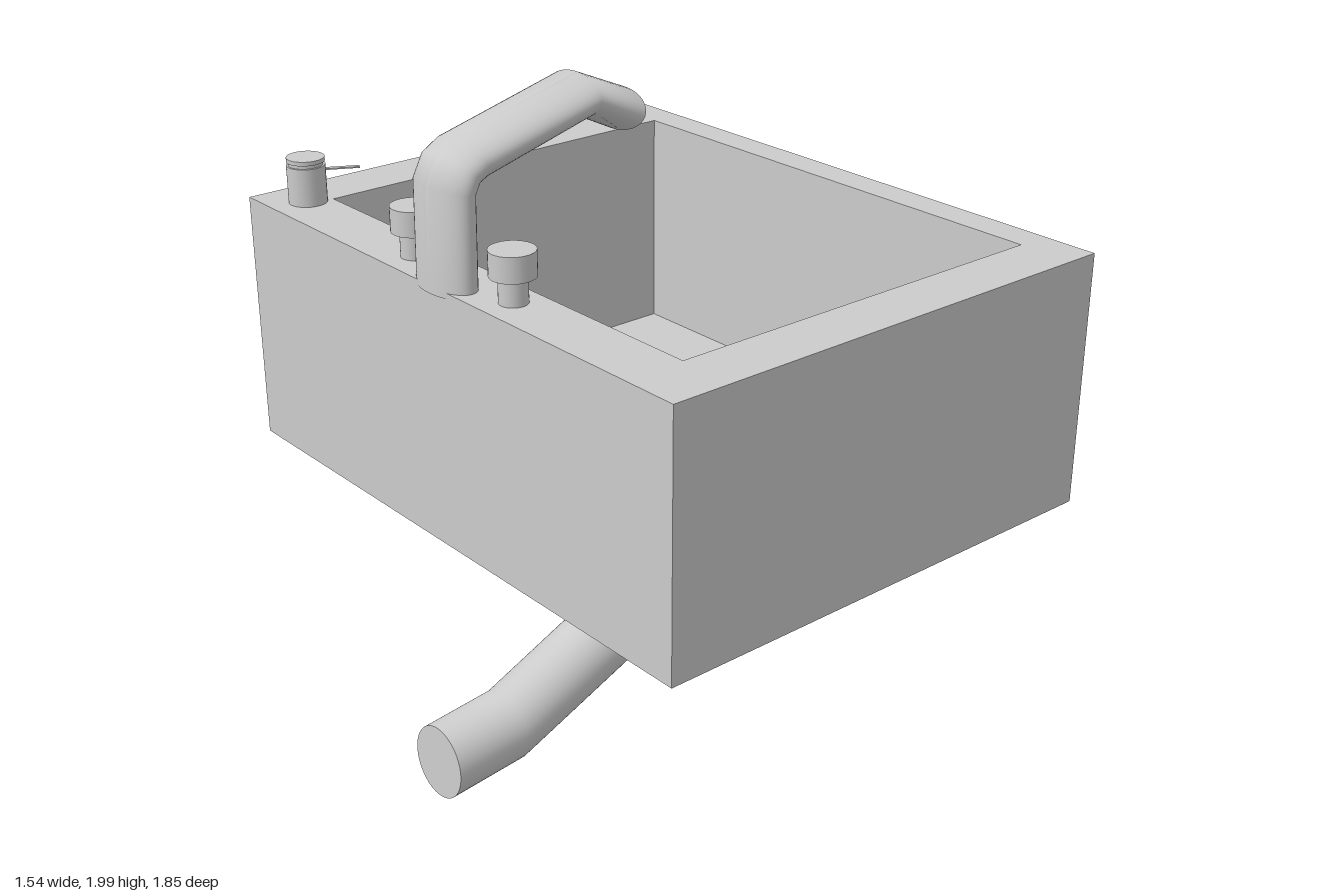
import * as THREE from 'three';

const material = new THREE.MeshStandardMaterial({ color: 0xcccccc });
const thin = new THREE.MeshStandardMaterial({ color: 0xcccccc, side: THREE.DoubleSide });
const DECK = 1.525, BOTTOM = 0.787, FLOOR = 0.857;

function add(parent, name, geometry, x = 0, y = 0, z = 0, mat = material) {
  const mesh = new THREE.Mesh(geometry, mat);
  mesh.name = name;
  mesh.position.set(x, y, z);
  parent.add(mesh);
  return mesh;
}

// Counter-clockwise rectangle on the ground plane; shape y is -z
function rect(target, x0, x1, z0, z1) {
  target.moveTo(x0, -z1);
  target.lineTo(x1, -z1);
  target.lineTo(x1, -z0);
  target.lineTo(x0, -z0);
  target.closePath();
  return target;
}

function slab(shape, depth) {
  return new THREE.ExtrudeGeometry(shape, { depth, bevelEnabled: false }).rotateX(-Math.PI / 2);
}

// Oval ring around a path node [x, y, heading in degrees] in the xy plane
function ring([x, y, heading], across, wide, sides = 40) {
  const h = THREE.MathUtils.degToRad(heading);
  return Array.from({ length: sides + 1 }, (_, k) => {
    const a = (k / sides) * Math.PI * 2, c = Math.cos(a) * across;
    return [x - Math.sin(h) * c, y + Math.cos(h) * c, Math.sin(a) * wide];
  });
}

// Skin over successive rings; a null entry leaves a hard edge
function loft(rings) {
  const pos = [], index = [];
  let previous = -1;
  for (const loop of rings) {
    if (!loop) { previous = -1; continue; }
    const start = pos.length / 3;
    loop.forEach((v) => pos.push(...v));
    if (previous >= 0) {
      for (let k = 0; k < loop.length - 1; k++) {
        const a = previous + k, b = start + k;
        index.push(a, a + 1, b + 1, a, b + 1, b);
      }
    }
    previous = start;
  }
  const g = new THREE.BufferGeometry();
  g.setAttribute('position', new THREE.Float32BufferAttribute(pos, 3));
  g.setIndex(index);
  g.computeVertexNormals();
  return g;
}

export function createModel() {
  const model = new THREE.Group();
  model.name = 'sink';

  // Basin: thick walls around a deep rectangular well
  const basin = new THREE.Group();
  basin.name = 'basin';
  model.add(basin);
  const well = [-0.53, 0.67, -0.757, 0.753];
  const walls = rect(new THREE.Shape(), -0.705, 0.768, -0.925, 0.921);
  walls.holes.push(rect(new THREE.Path(), ...well));
  add(basin, 'basinWalls', slab(walls, DECK - BOTTOM), 0, BOTTOM);
  add(basin, 'basinFloor', slab(rect(new THREE.Shape(), ...well), FLOOR - BOTTOM), 0, BOTTOM);

  // Drain plate with a grid of slots
  const plate = rect(new THREE.Shape(), -0.01, 0.145, -0.102, 0.097);
  for (const x of [0.037, 0.1]) {
    for (const z of [-0.077, -0.003, 0.072]) {
      const slot = new THREE.Path(), w = 0.018, h = 0.021, r = 0.008;
      slot.moveTo(x - w + r, -z - h);
      slot.lineTo(x + w - r, -z - h);
      slot.quadraticCurveTo(x + w, -z - h, x + w, -z - h + r);
      slot.lineTo(x + w, -z + h - r);
      slot.quadraticCurveTo(x + w, -z + h, x + w - r, -z + h);
      slot.lineTo(x - w + r, -z + h);
      slot.quadraticCurveTo(x - w, -z + h, x - w, -z + h - r);
      slot.lineTo(x - w, -z - h + r);
      slot.quadraticCurveTo(x - w, -z - h, x - w + r, -z - h);
      plate.holes.push(slot);
    }
  }
  add(model, 'drainPlate', slab(plate, 0.025), 0, FLOOR);

  // Waste pipe, closed at both ends
  const pipePath = [[0.054, BOTTOM, -90], [0.054, 0.6, -90], [0.052, 0.53, -101],
    [0.024, 0.456, -135], [-0.106, 0.326, -155], [-0.53, 0.138, -176], [-0.767, 0.112, 177]];
  const tube = pipePath.map((node) => ring(node, 0.107, 0.107));
  add(model, 'wastePipe', loft([
    ring(pipePath[0], 0, 0), tube[0], null, ...tube, null, tube.at(-1), ring(pipePath.at(-1), 0, 0),
  ]));

  // Oval spout with a hollow mouth
  const spoutPath = [[-0.659, 1.51, 90], [-0.655, 1.78, 77], [-0.632, 1.825, 47],
    [-0.595, 1.846, 23], [-0.236, 1.942, -4], [-0.093, 1.877, -25]];
  const outer = spoutPath.map((node) => ring(node, 0.057, 0.111));
  const bore = spoutPath.map((node) => ring(node, 0.049, 0.095));
  add(model, 'spout', loft([
    ring(spoutPath[0], 0, 0), outer[0], null, ...outer, null, outer.at(-1), bore.at(-1), null,
    ...bore.slice(2).reverse(), ring(spoutPath[2], 0, 0),
  ]), 0, 0, -0.01);

  // Pair of tap handles
  for (const [name, z] of [['leftTap', 0.21], ['rightTap', -0.222]]) {
    const tap = new THREE.Group();
    tap.name = name;
    tap.position.set(-0.612, DECK, z);
    add(tap, 'tapStem', new THREE.CylinderGeometry(0.039, 0.039, 0.08, 32), 0, 0.04);
    add(tap, 'tapKnob', new THREE.CylinderGeometry(0.062, 0.062, 0.07, 32), 0, 0.106);
    model.add(tap);
  }

  // Soap dispenser with a thin angled nozzle
  const soap = new THREE.Group();
  soap.name = 'soapDispenser';
  soap.position.set(-0.595, DECK, -0.785);
  model.add(soap);
  add(soap, 'soapBody', new THREE.CylinderGeometry(0.055, 0.055, 0.11, 32), 0, 0.055);
  add(soap, 'soapNeck', new THREE.CylinderGeometry(0.049, 0.049, 0.012, 32), 0, 0.115);
  add(soap, 'soapCap', new THREE.CylinderGeometry(0.054, 0.054, 0.012, 32), 0, 0.126);
  const nozzle = add(soap, 'soapNozzle', new THREE.BoxGeometry(0.15, 0.004, 0.015).translate(0.075, 0, 0), 0, 0.093, 0, thin);
  nozzle.rotation.y = -0.49;

  return model;
}
